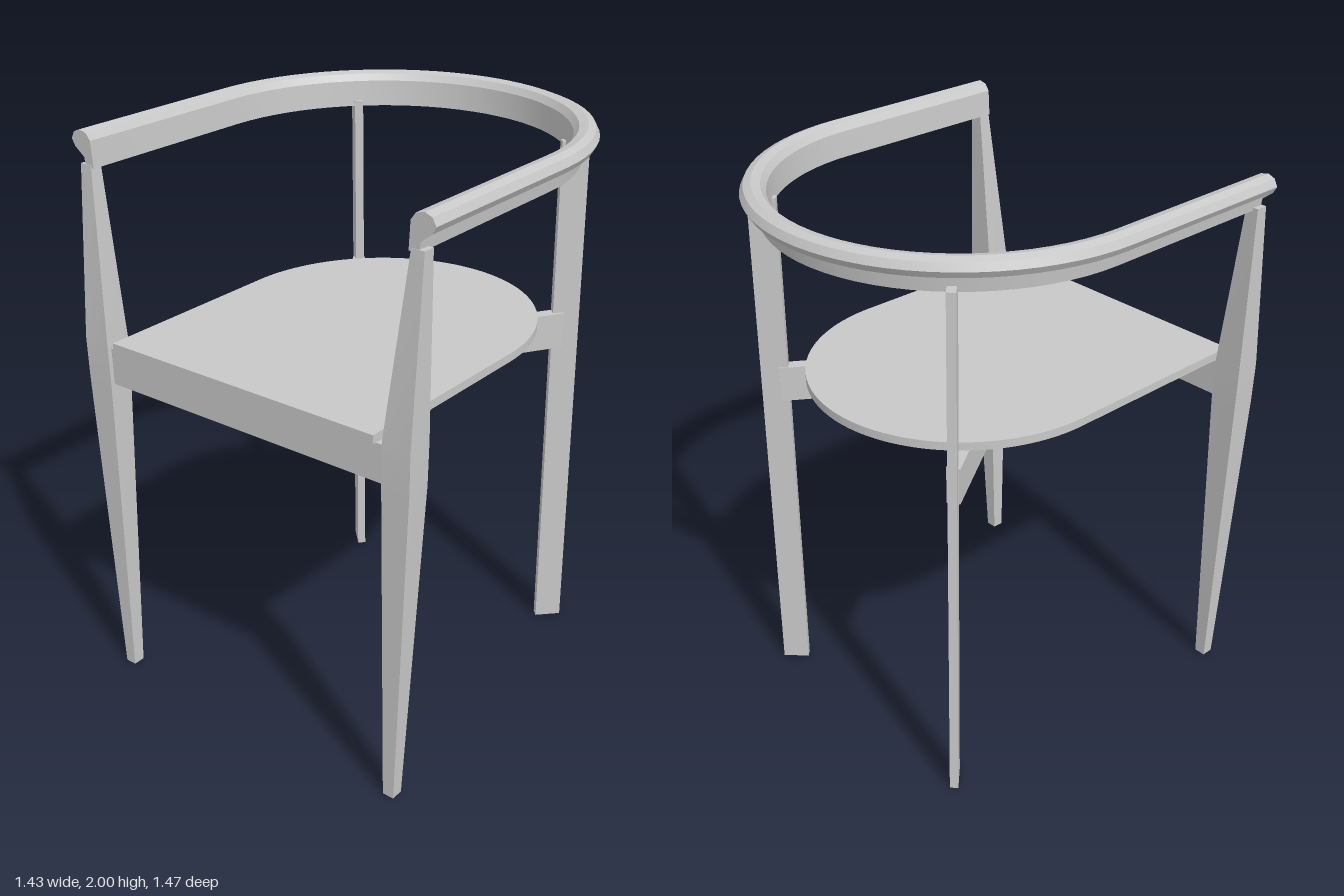
import * as THREE from 'three';
import { toCreasedNormals } from 'three/addons/utils/BufferGeometryUtils.js';

// Skin a list of cross-section loops (each counter-clockwise seen from ahead) and cap both ends.
function loft(sections) {
  const n = sections[0].length, pos = sections.flat(2), index = [];
  for (let i = 0; i < sections.length - 1; i++) {
    for (let k = 0; k < n; k++) {
      const a = i * n + k, b = i * n + (k + 1) % n;
      index.push(a, b, b + n, a, b + n, a + n);
    }
  }
  const last = (sections.length - 1) * n;
  for (let k = 1; k < n - 1; k++) {
    index.push(0, k + 1, k, last, last + k, last + k + 1);
  }
  const g = new THREE.BufferGeometry();
  g.setAttribute('position', new THREE.Float32BufferAttribute(pos, 3));
  g.setIndex(index);
  return toCreasedNormals(g, 0.5);
}

export function createModel() {
  const group = new THREE.Group();
  const wood = new THREE.MeshStandardMaterial({ color: 0xc8c8c8 });
  wood.name = 'paleGrey';
  const add = (name, geometry) => {
    const mesh = new THREE.Mesh(geometry, wood);
    mesh.name = name;
    group.add(mesh);
    return mesh;
  };

  // Arm and back rail: one profile (radius, height) swept round a U
  const profile = [
    [0.622, 1.88], [0.658, 1.88], [0.664, 1.93], [0.70, 1.942], [0.713, 1.965],
    [0.70, 1.99], [0.675, 2.0], [0.645, 1.993], [0.628, 1.97],
  ];
  const railSection = (angle, forward) => profile.map(([r, y]) =>
    [r * Math.cos(angle), y, forward - (r + 0.024) * Math.sin(angle)]);
  const steps = 36, rail = [railSection(Math.PI, 0.68)];
  for (let i = 0; i <= steps; i++) rail.push(railSection(Math.PI * (1 - i / steps), 0));
  rail.push(railSection(0, 0.68));
  add('armRail', loft(rail));

  // Front legs: height, inner x, outer x, back z, front z; widest at the seat
  const legLevels = [
    [0, 0.578, 0.62, 0.69, 0.733],
    [1.15, 0.57, 0.672, 0.642, 0.733],
    [1.3, 0.572, 0.675, 0.64, 0.733],
    [1.89, 0.632, 0.678, 0.64, 0.682],
  ];
  for (const side of [-1, 1]) {
    const name = side > 0 ? 'Left' : 'Right';
    add('frontLeg' + name, loft(legLevels.map(([y, inner, outer, z0, z1]) => {
      const x0 = Math.min(side * inner, side * outer), x1 = Math.max(side * inner, side * outer);
      return [[x0, y, z1], [x1, y, z1], [x1, y, z0], [x0, y, z0]];
    })));

    // Rear legs: flat blades facing the centre
    const blade = add('rearLeg' + name, new THREE.BoxGeometry(0.095, 1.9, 0.03));
    blade.position.set(side * 0.464, 0.95, -0.484);
    blade.rotation.y = side * Math.PI / 4;

    // Diagonal bars crossing under the seat, from rear leg to front rail
    const from = new THREE.Vector3(side * 0.455, 1.215, -0.475);
    const to = new THREE.Vector3(side * -0.3, 1.215, 0.68);
    const bar = add('crossBar' + name, new THREE.BoxGeometry(0.045, 0.13, from.distanceTo(to)));
    bar.position.copy(from).lerp(to, 0.5);
    bar.rotation.y = Math.atan2(to.x - from.x, to.z - from.z);
  }

  // Front rail between the front legs
  add('frontRail', new THREE.BoxGeometry(1.16, 0.13, 0.045)).position.set(0, 1.215, 0.695);

  // Seat: straight front, rounded back
  const outline = new THREE.Shape();
  outline.moveTo(-0.545, -0.733);
  outline.lineTo(0.54, -0.733);
  outline.lineTo(0.545, 0);
  outline.absellipse(0, 0, 0.545, 0.565, 0, Math.PI, false, 0);
  outline.closePath();
  const seat = new THREE.ExtrudeGeometry(outline, { depth: 0.03, bevelEnabled: false, curveSegments: 32 });
  seat.rotateX(-Math.PI / 2);
  add('seat', toCreasedNormals(seat, 0.5)).position.y = 1.281;

  return group;
}
